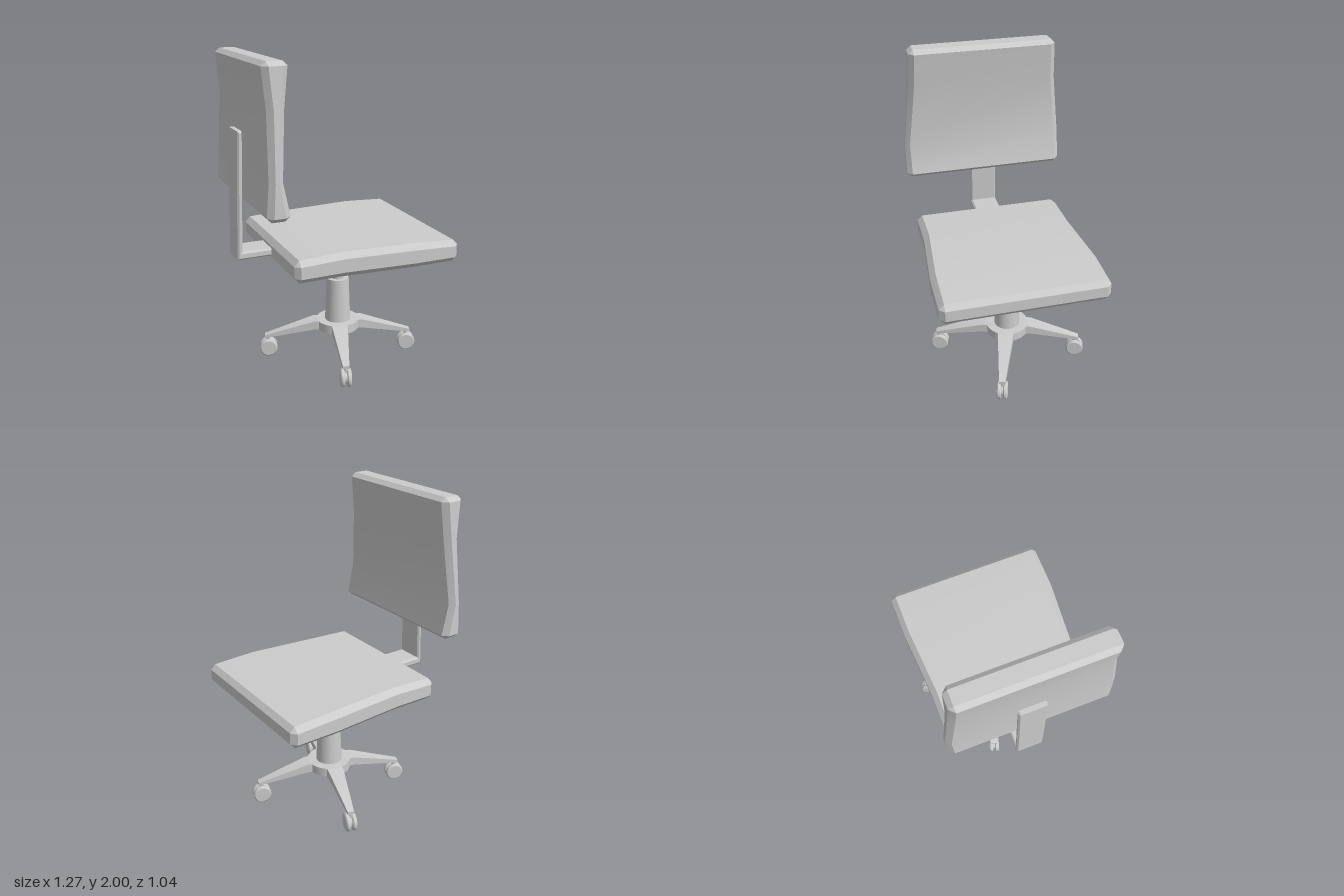
import * as THREE from 'three';
import { toCreasedNormals } from 'three/addons/utils/BufferGeometryUtils.js';

const material = new THREE.MeshStandardMaterial({ color: 0xcccccc });
const BASE_X = 0.063, BASE_Z = -0.017;

function part(name, geometry, parent, x = 0, y = 0, z = 0) {
  const mesh = new THREE.Mesh(geometry, material);
  mesh.name = name;
  mesh.position.set(x, y, z);
  parent.add(mesh);
  return mesh;
}

// Rectangle a0..a1 by b0..b1 with cut corners, counter-clockwise
function section(a0, a1, b0, b1, c = 0) {
  return [
    [a0 + c, b0], [a1 - c, b0], [a1, b0 + c], [a1, b1 - c],
    [a1 - c, b1], [a0 + c, b1], [a0, b1 - c], [a0, b0 + c],
  ];
}

// Skin a row of stations { t, ring }; place(t, a, b) gives the 3D point
function loft(stations, place) {
  const rings = stations.map(({ t, ring }) => ring.map(([a, b]) => place(t, a, b)));
  const positions = [];
  const triangle = (...corners) => {
    if (new THREE.Triangle(...corners).getArea() < 1e-8) return;
    corners.forEach((p) => positions.push(p.x, p.y, p.z));
  };
  const n = rings[0].length;
  for (let i = 0; i + 1 < rings.length; i++) {
    for (let j = 0; j < n; j++) {
      const k = (j + 1) % n, lo = rings[i], hi = rings[i + 1];
      triangle(lo[j], lo[k], hi[k]);
      triangle(lo[j], hi[k], hi[j]);
    }
  }
  const first = rings[0], last = rings[rings.length - 1];
  for (let j = 1; j + 1 < n; j++) {
    triangle(first[0], first[j + 1], first[j]);
    triangle(last[0], last[j], last[j + 1]);
  }
  const geometry = new THREE.BufferGeometry();
  geometry.setAttribute('position', new THREE.Float32BufferAttribute(positions, 3));
  return toCreasedNormals(geometry, 0.3);
}

const alongX = (t, a, b) => new THREE.Vector3(t, a, b);
const alongY = (t, a, b) => new THREE.Vector3(b, t, a);

function createSeat(parent) {
  // x, bottom, top, z range, corner cut
  const rows = [
    [-0.42, 0.78, 0.85, -0.448, 0.455, 0],
    [-0.39, 0.745, 0.885, -0.48, 0.487, 0.033],
    [-0.12, 0.745, 0.897, -0.48, 0.487, 0.035],
    [0.33, 0.745, 0.897, -0.513, 0.523, 0.035],
    [0.605, 0.745, 0.882, -0.513, 0.523, 0.033],
    [0.635, 0.78, 0.85, -0.48, 0.49, 0],
  ];
  part('seat', loft(rows.map(([t, ...r]) => ({ t, ring: section(...r) })), alongX), parent);
}

function createBackrest(parent) {
  // y, z range, x range, corner cut
  const rows = [
    [1.14, -0.48, 0.49, -0.56, -0.48, 0],
    [1.167, -0.513, 0.523, -0.587, -0.45, 0.033],
    [1.36, -0.513, 0.521, -0.572, -0.49, 0.03],
    [1.745, -0.47, 0.48, -0.562, -0.46, 0.033],
    [1.975, -0.46, 0.47, -0.582, -0.433, 0.033],
    [2.0, -0.43, 0.44, -0.553, -0.462, 0],
  ];
  part('backrest', loft(rows.map(([t, ...r]) => ({ t, ring: section(...r) })), alongY), parent);
}

// L-shaped bar joining the seat to the backrest
function createBracket(parent) {
  const bevel = 0.01;
  const shape = new THREE.Shape([
    [-0.625, 0.797], [-0.36, 0.797], [-0.36, 0.825], [-0.612, 0.825],
    [-0.59, 1.56], [-0.599, 1.56],
  ].map((p) => new THREE.Vector2(...p)));
  const geometry = new THREE.ExtrudeGeometry(shape, {
    depth: 0.156, bevelSize: bevel, bevelThickness: bevel, bevelSegments: 1,
  });
  part('backBracket', geometry, parent, 0, 0, -0.093);
}

function createColumn(parent) {
  part('columnSleeve', new THREE.CylinderGeometry(0.072, 0.085, 0.315, 32), parent, BASE_X, 0.3775, BASE_Z);
  part('columnPiston', new THREE.CylinderGeometry(0.042, 0.042, 0.25, 32), parent, BASE_X, 0.635, BASE_Z);
}

function createBase(parent) {
  const base = new THREE.Group();
  base.name = 'base';
  base.position.set(BASE_X, 0, BASE_Z);
  parent.add(base);
  part('hub', new THREE.CylinderGeometry(0.14, 0.14, 0.058, 40), base, 0, 0.216, 0);

  const legGeometry = loft([
    { t: 0.03, ring: section(0.187, 0.245, -0.06, 0.06) },
    { t: 0.16, ring: section(0.187, 0.245, -0.05, 0.05) },
    { t: 0.485, ring: section(0.126, 0.146, -0.02, 0.02) },
  ], alongX);
  const profile = [[0, -0.014], [0.05, -0.014], [0.058, -0.007], [0.058, 0.007], [0.05, 0.014], [0, 0.014]];
  const wheelGeometry = toCreasedNormals(
    new THREE.LatheGeometry(profile.map((p) => new THREE.Vector2(...p)), 28).rotateX(Math.PI / 2), 0.5);
  const axleGeometry = new THREE.CylinderGeometry(0.038, 0.038, 0.02, 20).rotateX(Math.PI / 2);
  const stemGeometry = new THREE.CylinderGeometry(0.014, 0.014, 0.06, 12);

  // Four legs a quarter turn apart, each with a twin-wheel caster
  for (let i = 0; i < 4; i++) {
    const leg = new THREE.Group();
    leg.name = 'legWithCaster';
    leg.rotation.y = -Math.PI / 10 + i * Math.PI / 2;
    base.add(leg);
    part('leg', legGeometry, leg);
    part('casterStem', stemGeometry, leg, 0.463, 0.108, 0);
    part('casterAxle', axleGeometry, leg, 0.463, 0.06, 0);
    for (const side of [-1, 1]) part('casterWheel', wheelGeometry, leg, 0.463, 0.058, side * 0.02);
  }
}

export function createModel() {
  const chair = new THREE.Group();
  chair.name = 'officeChair';
  createSeat(chair);
  createBackrest(chair);
  createBracket(chair);
  createColumn(chair);
  createBase(chair);
  return chair;
}
